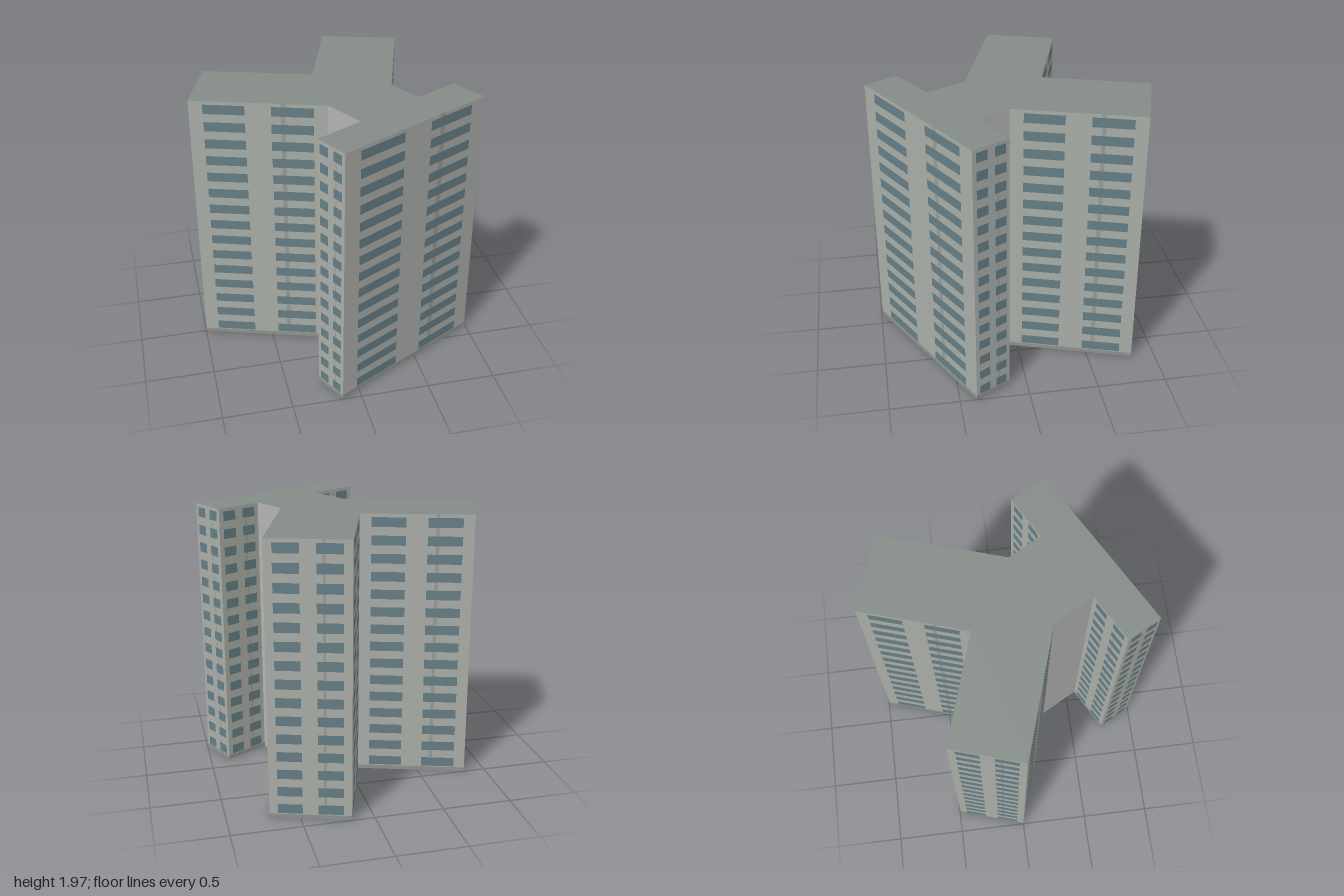
import * as THREE from 'three';
import { mergeGeometries } from 'three/addons/utils/BufferGeometryUtils.js';

const HEIGHT = 1.97, FLOORS = 15, FLOOR_H = HEIGHT / FLOORS;

// Footprint corners as [x, z], each wall running left to right when seen from outside
const FOOTPRINT = [
  [-0.135, 0.99], [0.995, 0.38],                               // front slab, long face
  [0.86, 0.125], [0.555, 0.29], [0.425, 0.055],                // slab end, back, neck
  [0.705, -0.825], [0.16, -0.995], [-0.075, -0.255],           // back wing
  [-0.84, -0.495], [-0.997, 0], [-0.085, 0.29],                // side wing
  [0.07, 0.575], [-0.26, 0.755],                               // neck, slab back
];
const NECK_WALLS = [3, 10]; // blank walls

// Rectangle on the wall a-b, between fractions f0-f1 along it and heights y0-y1
function wallPanel(a, b, f0, f1, y0, y1, offset = 0) {
  const dx = b[0] - a[0], dz = b[1] - a[1], len = Math.hypot(dx, dz);
  const f = (f0 + f1) / 2;
  return new THREE.PlaneGeometry(len * (f1 - f0), y1 - y0)
    .translate(0, 0, offset)
    .rotateY(Math.atan2(-dz, dx))
    .translate(a[0] + dx * f, (y0 + y1) / 2, a[1] + dz * f);
}

export function createModel() {
  const group = new THREE.Group();
  const walls = [], necks = [], windows = [], strips = [], bands = [];

  FOOTPRINT.forEach((a, i) => {
    const b = FOOTPRINT[(i + 1) % FOOTPRINT.length];
    const blank = NECK_WALLS.includes(i);
    (blank ? necks : walls).push(wallPanel(a, b, 0, 1, 0, HEIGHT));
    if (blank) return;

    // Dark plinth line and slim downpipe strip
    bands.push(wallPanel(a, b, 0, 1, 0, 0.03, 0.001));
    strips.push(wallPanel(a, b, 0.665, 0.697, 0.03, HEIGHT, 0.001));

    // Two window columns on every floor
    for (let n = 0; n < FLOORS; n++) {
      const y = n * FLOOR_H + 0.037;
      windows.push(wallPanel(a, b, 0.103, 0.405, y, y + 0.07, 0.002));
      windows.push(wallPanel(a, b, 0.595, 0.9, y, y + 0.07, 0.002));
    }
  });

  const add = (name, geometry, color, side = THREE.FrontSide) => {
    const mesh = new THREE.Mesh(geometry, new THREE.MeshStandardMaterial({ color, side }));
    mesh.name = name;
    group.add(mesh);
  };

  // Open-bottomed shell
  add('walls', mergeGeometries(walls), 0xaaaea8, THREE.DoubleSide);
  add('neckWalls', mergeGeometries(necks), 0xb4b4b4, THREE.DoubleSide);
  add('plinthBands', mergeGeometries(bands), 0x8f938e);
  add('wallStrips', mergeGeometries(strips), 0x989c97);
  add('windows', mergeGeometries(windows), 0x667e86);

  // Flat roof
  const outline = new THREE.Shape(FOOTPRINT.map(([x, z]) => new THREE.Vector2(x, -z)));
  const roof = new THREE.ShapeGeometry(outline).rotateX(-Math.PI / 2).translate(0, HEIGHT, 0);
  add('roof', roof, 0x858c88, THREE.DoubleSide);

  return group;
}
